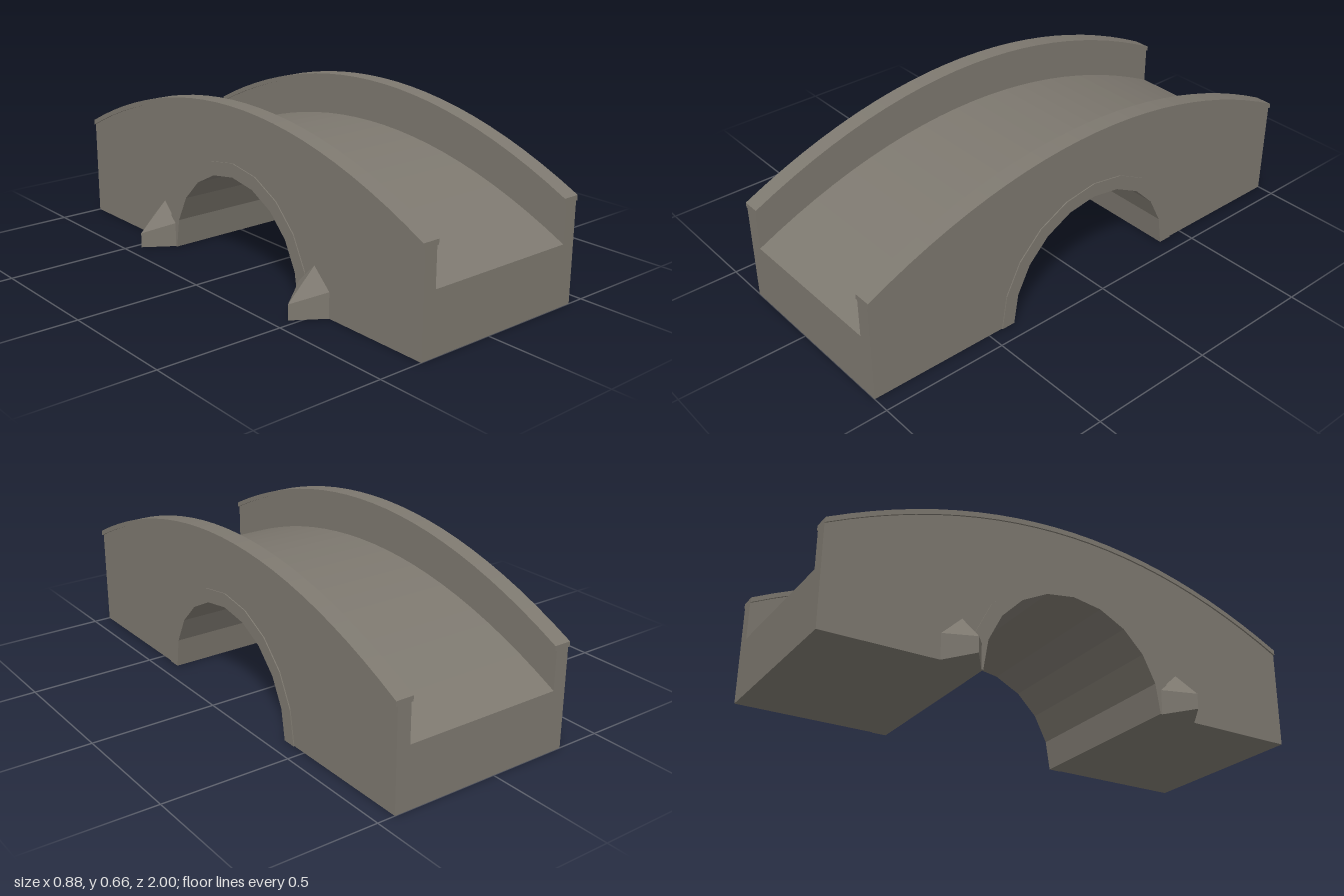
import * as THREE from 'three';

const stone = new THREE.MeshStandardMaterial({ color: 0x7d786f });
stone.name = 'stone';

const LEFT = 0.43, RIGHT = -0.32;   // outer faces of the bridge
const WALL = 0.055, CAP = 0.07;     // parapet and coping widths
const ARCH = 0.385, RING = 0.44;    // inner and outer arch radii
const SEGMENTS = 24, ARCH_SEGMENTS = 10;

// Humped curve from z = -1 to z = 1 with its crown at the given height
function hump(crown) {
  const points = [];
  for (let i = 0; i <= SEGMENTS; i++) {
    const z = -1 + (2 * i) / SEGMENTS;
    points.push(new THREE.Vector2(z, crown - 0.25 * z * z));
  }
  return points;
}

// Half circle of points from z = +r over the top to z = -r
function arc(r) {
  const points = [];
  for (let i = 0; i <= ARCH_SEGMENTS; i++) {
    const a = (Math.PI * i) / ARCH_SEGMENTS;
    points.push(new THREE.Vector2(r * Math.cos(a), i === ARCH_SEGMENTS ? 0 : r * Math.sin(a)));
  }
  return points;
}

// Side profile (z, y) extruded across the bridge from x0 to x1
function slab(name, points, x0, x1) {
  const geometry = new THREE.ExtrudeGeometry(new THREE.Shape(points), {
    depth: x1 - x0, bevelEnabled: false,
  });
  geometry.rotateY(-Math.PI / 2);
  geometry.translate(x1, 0, 0);
  const mesh = new THREE.Mesh(geometry, stone);
  mesh.name = name;
  return mesh;
}

// Pointed pier foot: a triangular prism with a sloped, ridged top
function cutwater(name, z) {
  const wall = RIGHT, tip = -0.44, half = 0.08;
  const v = {
    a: [wall, 0, -half], b: [tip, 0, 0], c: [wall, 0, half],
    d: [wall, 0.1, -half], e: [tip, 0.06, 0], f: [wall, 0.1, half],
    g: [wall, 0.175, 0],
  };
  const faces = ['bcf', 'bfe', 'abe', 'aed', 'efg', 'deg', 'acb'];
  const positions = faces.flatMap((face) => [...face].flatMap((k) => v[k]));
  const geometry = new THREE.BufferGeometry();
  geometry.setAttribute('position', new THREE.Float32BufferAttribute(positions, 3));
  geometry.computeVertexNormals();
  const mesh = new THREE.Mesh(geometry, stone);
  mesh.name = name;
  mesh.position.z = z;
  return mesh;
}

export function createModel() {
  const bridge = new THREE.Group();
  bridge.name = 'archedBridge';

  // Main span: deck on top, open arch underneath
  const span = [
    new THREE.Vector2(-1, 0), ...arc(ARCH).reverse(),
    new THREE.Vector2(1, 0), ...hump(0.49).reverse(),
  ];
  bridge.add(slab('span', span, RIGHT, LEFT));

  // Parapets and their overhanging copings follow the deck curve
  const parapet = [...hump(0.49), ...hump(0.64).reverse()];
  const coping = [...hump(0.64), ...hump(0.66).reverse()];
  bridge.add(slab('leftParapet', parapet, LEFT - WALL, LEFT));
  bridge.add(slab('rightParapet', parapet, RIGHT, RIGHT + WALL));
  bridge.add(slab('leftCoping', coping, LEFT + 0.007 - CAP, LEFT + 0.007));
  bridge.add(slab('rightCoping', coping, RIGHT - 0.007, RIGHT - 0.007 + CAP));

  // Slightly raised arch rings on both faces
  const ring = [...arc(RING), ...arc(ARCH).reverse()];
  bridge.add(slab('leftArchRing', ring, LEFT, LEFT + 0.004));
  bridge.add(slab('rightArchRing', ring, RIGHT - 0.004, RIGHT));

  // Cutwaters on the right face only
  bridge.add(cutwater('frontCutwater', 0.47));
  bridge.add(cutwater('backCutwater', -0.47));

  return bridge;
}
